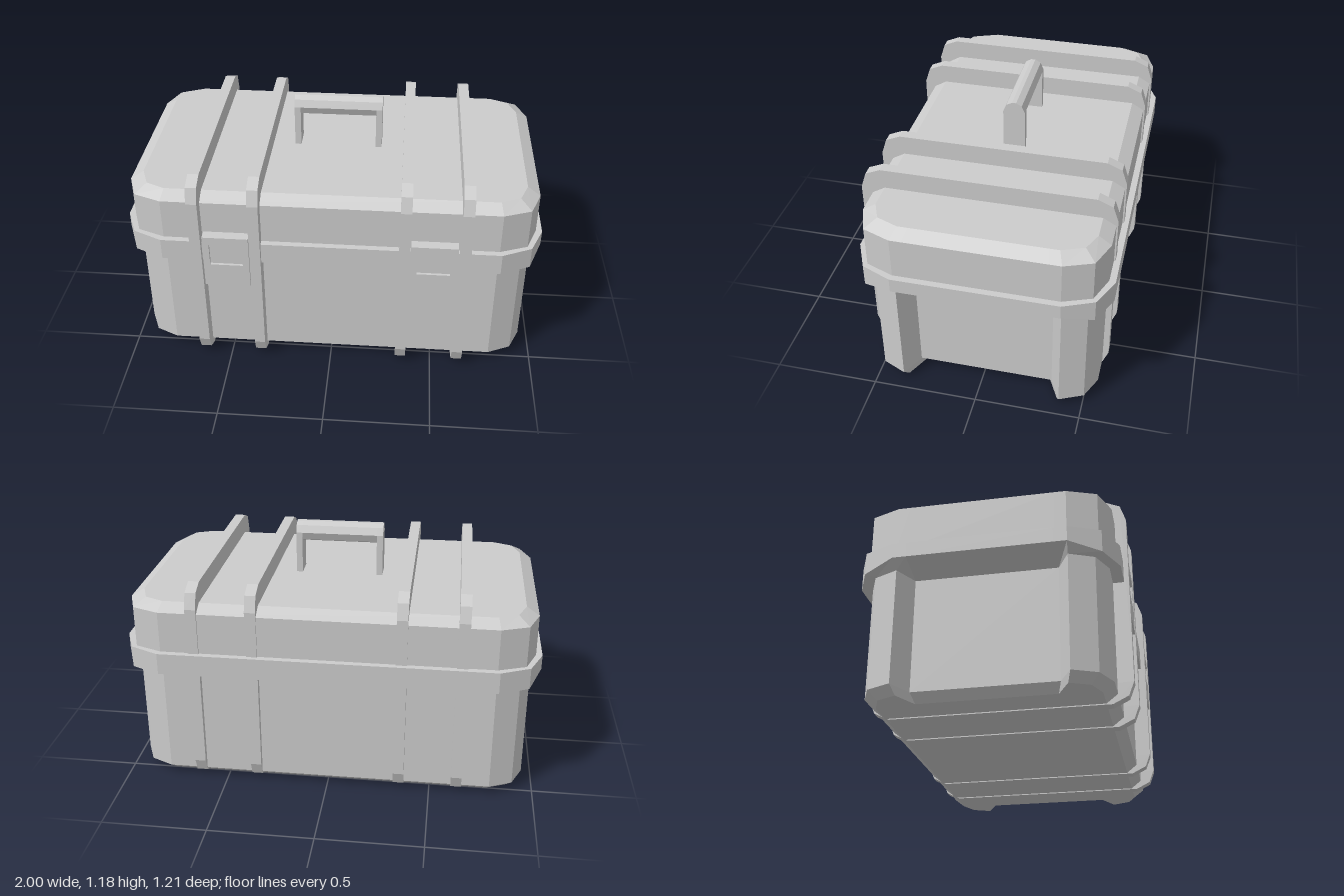
import * as THREE from 'three';

const ZC = -0.0125; // centre of the case in depth
const material = new THREE.MeshStandardMaterial({ color: 0xcccccc, flatShading: true });

function addMesh(parent, name, geometry, x = 0, y = 0, z = 0) {
  const mesh = new THREE.Mesh(geometry, material);
  mesh.name = name;
  mesh.position.set(x, y, z);
  parent.add(mesh);
  return mesh;
}

// Mirror one corner's [x, z, y offset] points into a full closed outline at height y
function outline(corner, y) {
  const place = (sx, sz) => ([x, z, dy = 0]) => new THREE.Vector3(x * sx, y + dy, z * sz + ZC);
  const reversed = [...corner].reverse();
  return [
    ...corner.map(place(1, 1)), ...reversed.map(place(1, -1)),
    ...corner.map(place(-1, -1)), ...reversed.map(place(-1, 1)),
  ];
}

// Skin a stack of outlines, bottom to top, and close both ends
function loft(rings) {
  const positions = [];
  const tri = (...points) => points.forEach((p) => positions.push(p.x, p.y, p.z));
  for (let r = 0; r < rings.length - 1; r++) {
    const lower = rings[r], upper = rings[r + 1];
    lower.forEach((a, i) => {
      const j = (i + 1) % lower.length;
      tri(a, lower[j], upper[j]);
      tri(a, upper[j], upper[i]);
    });
  }
  const cap = (ring, up) => {
    const flat = ring.map((p) => new THREE.Vector2(p.x, -p.z));
    THREE.ShapeUtils.triangulateShape(flat, []).forEach(([a, b, c]) =>
      up ? tri(ring[a], ring[b], ring[c]) : tri(ring[a], ring[c], ring[b]));
  };
  cap(rings[0], false);
  cap(rings[rings.length - 1], true);
  const geometry = new THREE.BufferGeometry();
  geometry.setAttribute('position', new THREE.Float32BufferAttribute(positions, 3));
  geometry.computeVertexNormals();
  return geometry;
}

// Side profile of [z, y] points extruded across x, centred on x = 0
function sideExtrude(profile, width) {
  const shape = new THREE.Shape(profile.map(([z, y]) => new THREE.Vector2(z, y)));
  return new THREE.ExtrudeGeometry(shape, { depth: width, bevelEnabled: false })
    .translate(0, 0, -width / 2)
    .rotateY(-Math.PI / 2);
}

const mirrored = (half) => [...half, ...[...half].reverse().map(([z, y]) => [-z, y])];

function rectangle(Type, x0, y0, x1, y1) {
  return new Type([[x0, y0], [x1, y0], [x1, y1], [x0, y1]].map((p) => new THREE.Vector2(...p)));
}

export function createModel() {
  const model = new THREE.Group();
  model.name = 'toolCase';

  // Lower body with recessed end panels and a bevelled foot
  const bodyCorner = [[0.79, 0.5425], [0.9, 0.4925], [0.95, 0.38], [0.84, 0.325]];
  const footCorner = [[0.78, 0.4925], [0.87, 0.455], [0.91, 0.365], [0.8, 0.31]];
  addMesh(model, 'body', loft([
    outline(footCorner, 0.005), outline(bodyCorner, 0.045), outline(bodyCorner, 0.585),
  ]));

  // Rim, its underside lifted at the ends as a finger grip
  const rimCorner = [[0.8, 0.5925], [0.94, 0.5275], [1, 0.385], [1, 0.325]];
  const rimUnder = rimCorner.map(([x, z], i) => [x, z, i > 1 ? 0.035 : 0]);
  addMesh(model, 'rim', loft([
    outline(bodyCorner, 0.584), outline(rimUnder, 0.585), outline(rimCorner, 0.69),
  ]));

  // Lid with a bevelled top edge
  const lidCorner = [[0.79, 0.5625], [0.92, 0.5125], [0.97, 0.38], [0.97, 0.325]];
  const lidTop = [[0.78, 0.5025], [0.87, 0.4625], [0.91, 0.36], [0.91, 0.31]];
  addMesh(model, 'lid', loft([
    outline(lidCorner, 0.68), outline(lidCorner, 0.89), outline(lidTop, 0.925),
  ]));

  // Four ribs wrapping the whole case
  const rib = sideExtrude(mirrored([
    [0.4975, 0], [0.5675, 0.035], [0.5925, 0.1], [0.5925, 0.915], [0.5675, 0.99], [0.4975, 1.02],
  ]), 0.052);
  for (const x of [-0.63, -0.35, 0.35, 0.63]) addMesh(model, 'rib', rib, x, 0, 0.01);

  // Latches, each a plate with a shallow finger window
  const plate = rectangle(THREE.Shape, -0.109, -0.1375, 0.109, 0.1375);
  plate.holes.push(rectangle(THREE.Path, -0.078, -0.0175, 0.078, 0.0975));
  const plateGeometry = new THREE.ExtrudeGeometry(plate, { depth: 0.07, bevelEnabled: false });
  const windowGeometry = new THREE.BoxGeometry(0.17, 0.13, 0.04);
  for (const side of [-1, 1]) {
    const latch = new THREE.Group();
    latch.name = side > 0 ? 'leftLatch' : 'rightLatch';
    latch.position.set(side * 0.488, 0.5925, 0);
    addMesh(latch, 'latchPlate', plateGeometry, 0, 0, 0.53);
    addMesh(latch, 'latchWindow', windowGeometry, 0, 0.04, 0.567);
    model.add(latch);
  }

  // Carry handle: two round-topped posts and a faceted grip
  const handle = new THREE.Group();
  handle.name = 'handle';
  handle.position.z = ZC;
  const arch = [[0.0525, 1.13], [0.037, 1.165], [0.01, 1.18]];
  const post = sideExtrude(mirrored([[0.0525, 0.9], ...arch]), 0.03);
  for (const side of [-1, 1]) addMesh(handle, 'handlePost', post, side * 0.2);
  const grip = sideExtrude(mirrored([[0.01, 1.08], [0.037, 1.092], ...arch]), 0.372);
  addMesh(handle, 'handleGrip', grip);
  model.add(handle);

  return model;
}
